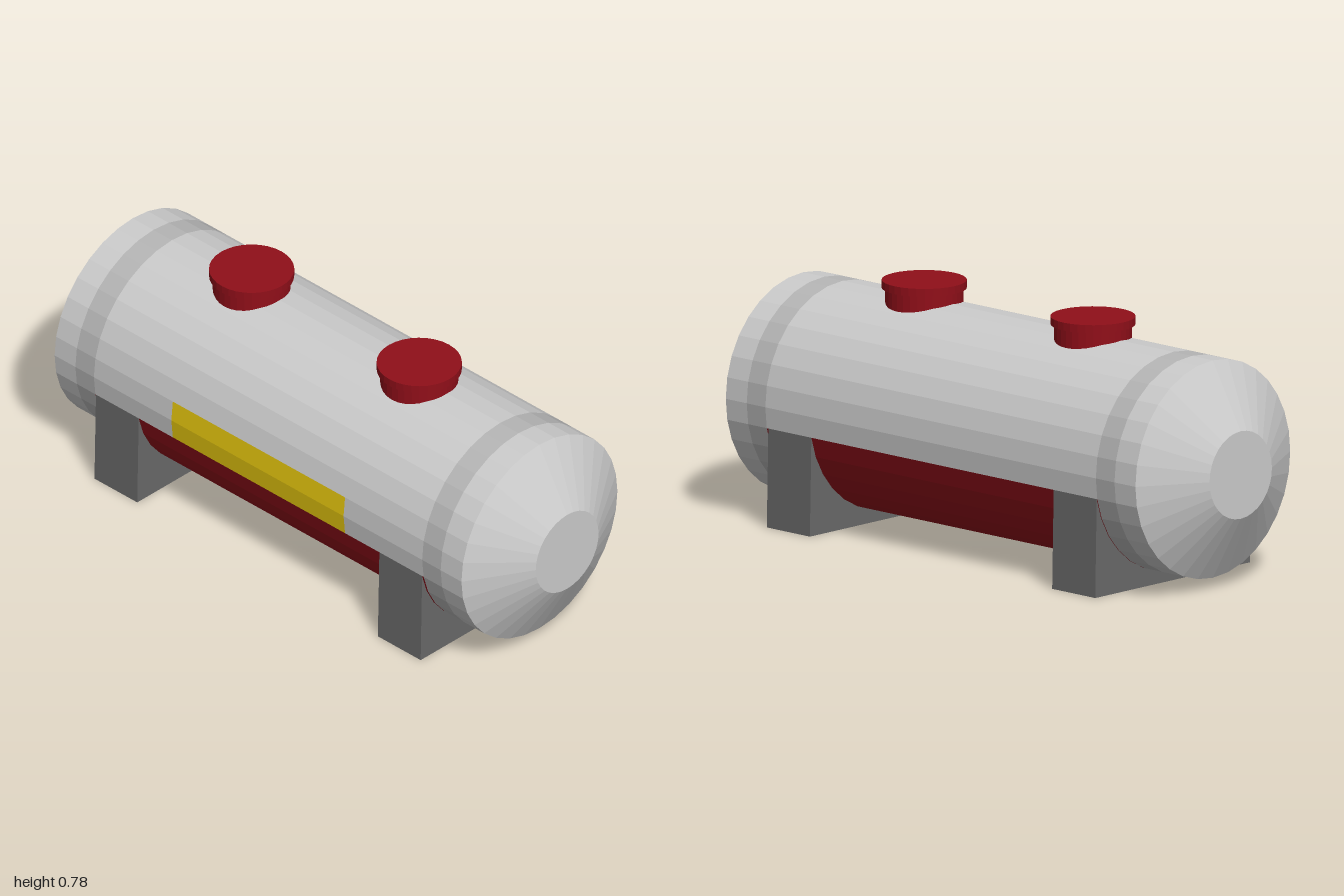
import * as THREE from 'three';

const R = 0.345, AXIS_Y = 0.38, SIDES = 32, STEP = (Math.PI * 2) / SIDES;

const paint = (color) => new THREE.MeshStandardMaterial({ color, flatShading: true });

export function createModel() {
  const model = new THREE.Group();
  const grey = paint(0xcccccc);
  const bandGrey = paint(0xb6b6b6);
  const darkGrey = paint(0x696969);
  const red = paint(0x900f19);
  const yellow = paint(0xe6c60f);

  const add = (name, geometry, material, x = 0, y = 0) => {
    const mesh = new THREE.Mesh(geometry, material);
    mesh.name = name;
    mesh.position.set(x, y, 0);
    model.add(mesh);
    return mesh;
  };

  // Section of the shell from x0 to x1; facets count from the front (+z) upward
  const shell = (name, material, x0, x1, first = 0, count = SIDES) => {
    const g = new THREE.CylinderGeometry(R, R, x1 - x0, count, 1, true, first * STEP, count * STEP);
    g.rotateZ(Math.PI / 2);
    add(name, g, material, (x0 + x1) / 2, AXIS_Y);
  };

  // Middle of the tank: upper shell, red belly, yellow panel on the front
  shell('upperShell', grey, -0.71, 0.71, 1, 16);
  shell('belly', red, -0.71, 0.71, 17, 14);
  shell('frontStripRight', grey, -0.71, -0.375, -1, 2);
  shell('frontPanel', yellow, -0.375, 0.37, -1, 2);
  shell('frontStripLeft', grey, 0.37, 0.71, -1, 2);

  // Bands, end sections and tapered end caps
  for (const [side, s] of [['Left', 1], ['Right', -1]]) {
    const span = (a, b) => (s > 0 ? [a, b] : [-b, -a]);
    shell('band' + side, bandGrey, ...span(0.71, 0.79));
    shell('endSection' + side, grey, ...span(0.79, 0.88));
    const cone = new THREE.CylinderGeometry(0.139, R, 0.12, SIDES, 1, true);
    cone.rotateZ(-s * Math.PI / 2);
    add('endCone' + side, cone, grey, s * 0.94, AXIS_Y);
    const disc = new THREE.CircleGeometry(0.139, SIDES);
    disc.rotateY(s * Math.PI / 2);
    add('endDisc' + side, disc, grey, s, AXIS_Y);
  }

  // Saddles: blocks whose top is cut to the facets of the tank
  const profile = new THREE.Shape();
  profile.moveTo(-R, 0);
  profile.lineTo(R, 0);
  for (let i = -1; i >= -15; i--) {
    profile.lineTo(R * Math.cos(i * STEP), AXIS_Y + R * Math.sin(i * STEP));
  }
  profile.closePath();
  const saddle = new THREE.ExtrudeGeometry(profile, { depth: 0.185, bevelEnabled: false });
  saddle.translate(0, 0, -0.0925);
  saddle.rotateY(Math.PI / 2);
  add('saddleRight', saddle, darkGrey, -0.615);
  add('saddleLeft', saddle, darkGrey, 0.611);

  // Hatches: neck and wider lid
  const neck = new THREE.CylinderGeometry(0.121, 0.121, 0.07, SIDES, 1, true);
  const lid = new THREE.CylinderGeometry(0.132, 0.132, 0.025, SIDES);
  for (const [side, x] of [['Right', -0.365], ['Left', 0.36]]) {
    add('hatchNeck' + side, neck, red, x, 0.73);
    add('hatchLid' + side, lid, red, x, 0.772);
  }

  return model;
}
